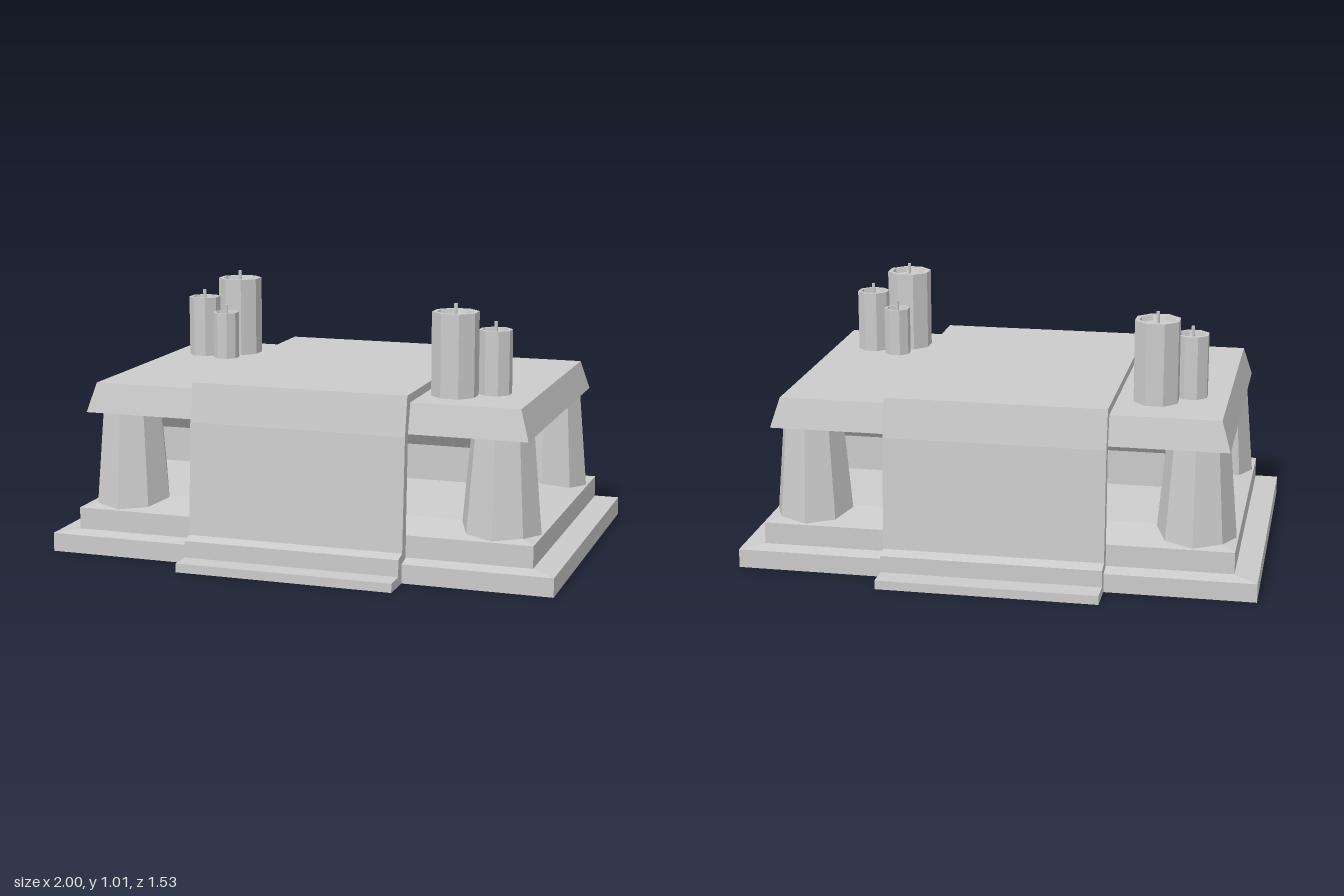
import * as THREE from 'three';

const mat = new THREE.MeshStandardMaterial({ color: 0xcccccc, flatShading: true });

function add(parent, name, geometry, x = 0, y = 0, z = 0) {
  const mesh = new THREE.Mesh(geometry, mat);
  mesh.name = name;
  mesh.position.set(x, y, z);
  parent.add(mesh);
  return mesh;
}

// Stack of rectangles [halfX, halfZ, y] joined from bottom to top and capped
function rectLoft(rings) {
  const corners = rings.map(([a, b, y]) => [[-a, y, b], [a, y, b], [a, y, -b], [-a, y, -b]]);
  const pos = [];
  const quad = (a, b, c, d) => pos.push(...a, ...b, ...c, ...a, ...c, ...d);
  for (let i = 0; i < corners.length - 1; i++) {
    const lo = corners[i], hi = corners[i + 1];
    for (let j = 0; j < 4; j++) {
      const k = (j + 1) % 4;
      quad(lo[j], lo[k], hi[k], hi[j]);
    }
  }
  quad(...corners[corners.length - 1]);
  quad(...[...corners[0]].reverse());
  const g = new THREE.BufferGeometry();
  g.setAttribute('position', new THREE.Float32BufferAttribute(pos, 3));
  g.computeVertexNormals();
  return g;
}

// Eight-sided candle with a sunken top and a wick
function candle(parent, x, z, r, top) {
  const group = new THREE.Group();
  group.name = 'candle';
  group.position.set(x, 0, z);
  const profile = [[r, 0.655], [r, top], [r * 0.8, top], [r * 0.72, top - 0.02], [0, top - 0.02]]
    .map(([px, py]) => new THREE.Vector2(px, py));
  add(group, 'wax', new THREE.LatheGeometry(profile, 8, Math.PI / 8));
  add(group, 'wick', new THREE.CylinderGeometry(0.007, 0.007, 0.05, 6), 0, top + 0.005, 0);
  parent.add(group);
}

export function createModel() {
  const model = new THREE.Group();
  model.name = 'altar';

  // Stepped base with gently sloping tops
  add(model, 'base', rectLoft([
    [1, 0.635, 0], [1, 0.635, 0.073], [0.91, 0.58, 0.085], [0.91, 0.58, 0.17], [0.73, 0.4, 0.2],
  ]));

  // Waisted core between the pillars
  add(model, 'core', rectLoft([
    [0.73, 0.4, 0.2], [0.67, 0.34, 0.33], [0.67, 0.34, 0.465], [0.73, 0.4, 0.54],
  ]));

  // Table slab with bevelled sides
  add(model, 'slab', rectLoft([
    [0.73, 0.4, 0.54], [0.88, 0.56, 0.55], [0.845, 0.535, 0.665],
  ]));

  // Corner pillars
  for (const sx of [-1, 1]) for (const sz of [-1, 1]) {
    add(model, 'pillar', new THREE.CylinderGeometry(0.12, 0.154, 0.385, 8), sx * 0.75, 0.3575, sz * 0.416);
  }

  // Cloth draped over front and back, cross-section in z and y
  const outer = [[0.763, 0], [0.763, 0.035], [0.676, 0.035], [0.676, 0.1], [0.627, 0.112], [0.6, 0.547], [0.572, 0.697]];
  const inner = [[0.535, 0.66], [0.562, 0.55], [0.581, 0.17], [0.581, 0]];
  const mirrored = (pts) => pts.map(([z, y]) => [-z, y]).reverse();
  const section = [...outer, ...mirrored(outer), ...mirrored(inner), ...inner]
    .map(([z, y]) => new THREE.Vector2(z, y));
  // order: outer front to back, then the inside from back to front
  const clothGeometry = new THREE.ExtrudeGeometry(new THREE.Shape(section), { depth: 0.852, bevelEnabled: false });
  clothGeometry.translate(0, 0, -0.426);
  clothGeometry.rotateY(-Math.PI / 2);
  add(model, 'cloth', clothGeometry);

  // Two clusters of three candles
  candle(model, 0.545, 0.345, 0.09, 0.983);
  candle(model, 0.68, 0.265, 0.065, 0.91);
  candle(model, 0.565, 0.205, 0.053, 0.855);
  candle(model, -0.575, -0.31, 0.09, 0.983);
  candle(model, -0.7, -0.22, 0.065, 0.91);
  candle(model, -0.585, -0.17, 0.053, 0.855);

  return model;
}
